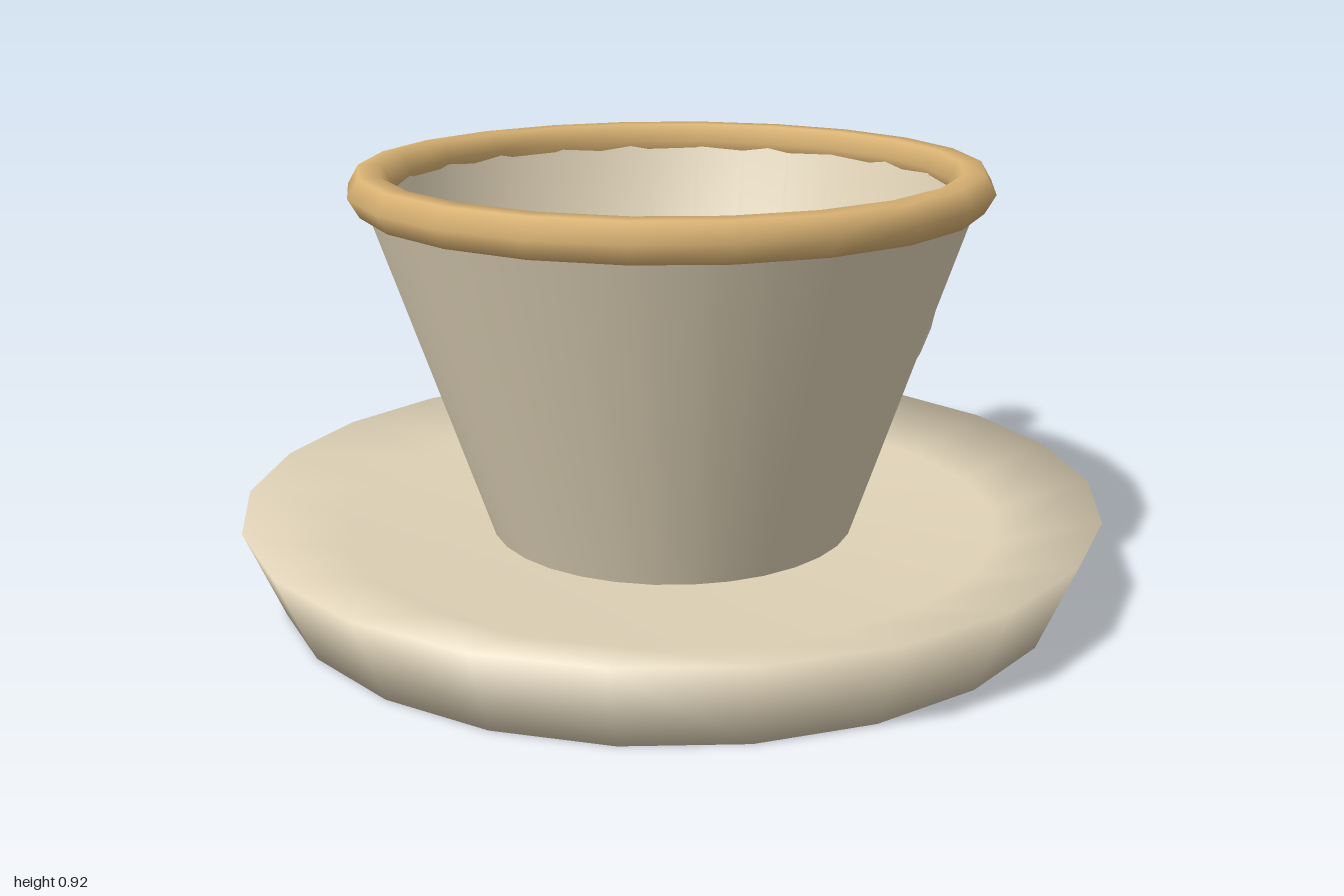
import * as THREE from 'three';

export function createModel() {
  const group = new THREE.Group();
  group.name = 'cupAndSaucer';

  const cream = new THREE.MeshStandardMaterial({ color: 0xded1b6, side: THREE.DoubleSide });
  cream.name = 'cream';
  const gold = new THREE.MeshStandardMaterial({ color: 0xd9b273 });
  gold.name = 'gold';

  // The cup axis sits left of centre so that the handle balances the width
  const body = new THREE.Group();
  body.name = 'body';
  body.position.x = -0.065;
  group.add(body);

  const add = (name, geometry, material) => {
    const mesh = new THREE.Mesh(geometry, material);
    mesh.name = name;
    body.add(mesh);
    return mesh;
  };
  const lathe = (points, sides) =>
    new THREE.LatheGeometry(points.map(([r, y]) => new THREE.Vector2(r, y)), sides).rotateY(Math.PI / 2);

  // Saucer: flat base, flared side, gently sloped lip and shallow floor
  add('saucer', lathe([[0, 0], [0.857, 0], [0.937, 0.19], [0.72, 0.13], [0, 0.11]], 22), cream);

  // Cup: tapered outer wall, lip, and an inner bowl blending softly into its floor
  add('cupWall', lathe([[0.397, 0.11], [0.654, 0.875]], 32), cream);
  add('cupLip', lathe([[0.654, 0.875], [0.605, 0.875]], 32), cream);
  add('cupInside', lathe([[0.605, 0.875], [0.37, 0.18], [0, 0.18]], 32), cream);

  // Rim ring
  const rim = add('rim', new THREE.TorusGeometry(0.639, 0.046, 6, 22).rotateX(Math.PI / 2), gold);
  rim.position.y = 0.878;

  // Handle: open arc facing +x
  const handle = add('handle', new THREE.TorusGeometry(0.235, 0.077, 6, 14, 4).rotateZ(-2), cream);
  handle.position.set(0.753, 0.518, 0);

  // Three small grains on the cup floor
  for (let i = 0; i < 3; i++) {
    const a = (i * Math.PI * 2) / 3;
    const grain = add('grain' + (i + 1), new THREE.SphereGeometry(0.08, 6, 4).scale(1, 0.45, 0.47), gold);
    grain.position.set(Math.cos(a) * 0.125, 0.2, Math.sin(a) * 0.125);
  }

  return group;
}
